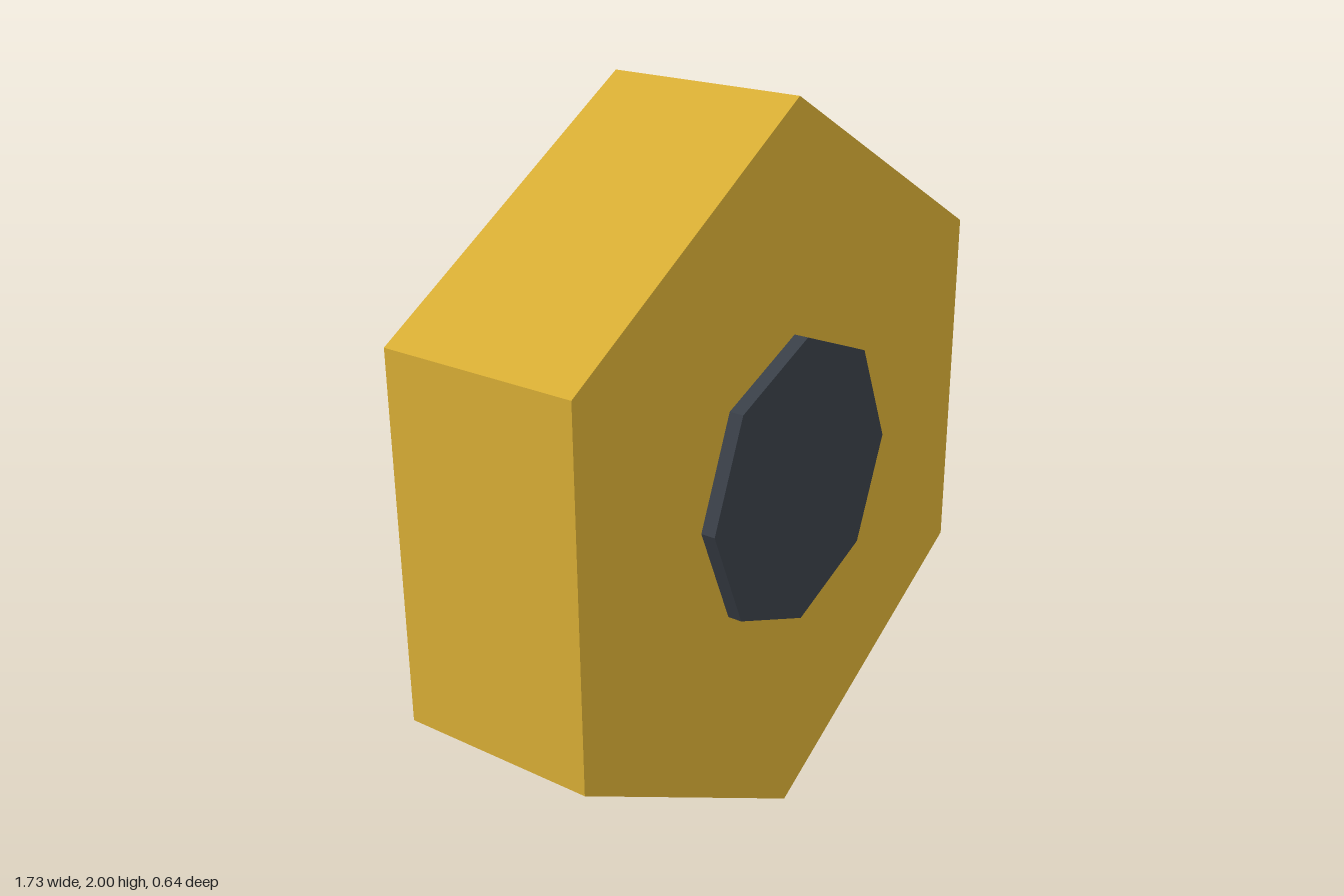
import * as THREE from 'three';

// Faceted prism lying along z, with a corner pointing straight up
function prism(name, radius, depth, sides, color) {
  const geometry = new THREE.CylinderGeometry(radius, radius, depth, sides);
  geometry.rotateX(Math.PI / 2);
  const mesh = new THREE.Mesh(geometry, new THREE.MeshStandardMaterial({ color, flatShading: true }));
  mesh.name = name;
  mesh.position.y = 1;
  return mesh;
}

export function createModel() {
  const model = new THREE.Group();
  model.name = 'hexNut';

  // Six-sided body
  model.add(prism('nutBody', 1, 0.56, 6, 0xd4aa33));

  // Eight-sided dark core, slightly proud of both faces
  model.add(prism('boreCore', 0.4, 0.64, 8, 0x383e46));

  return model;
}
